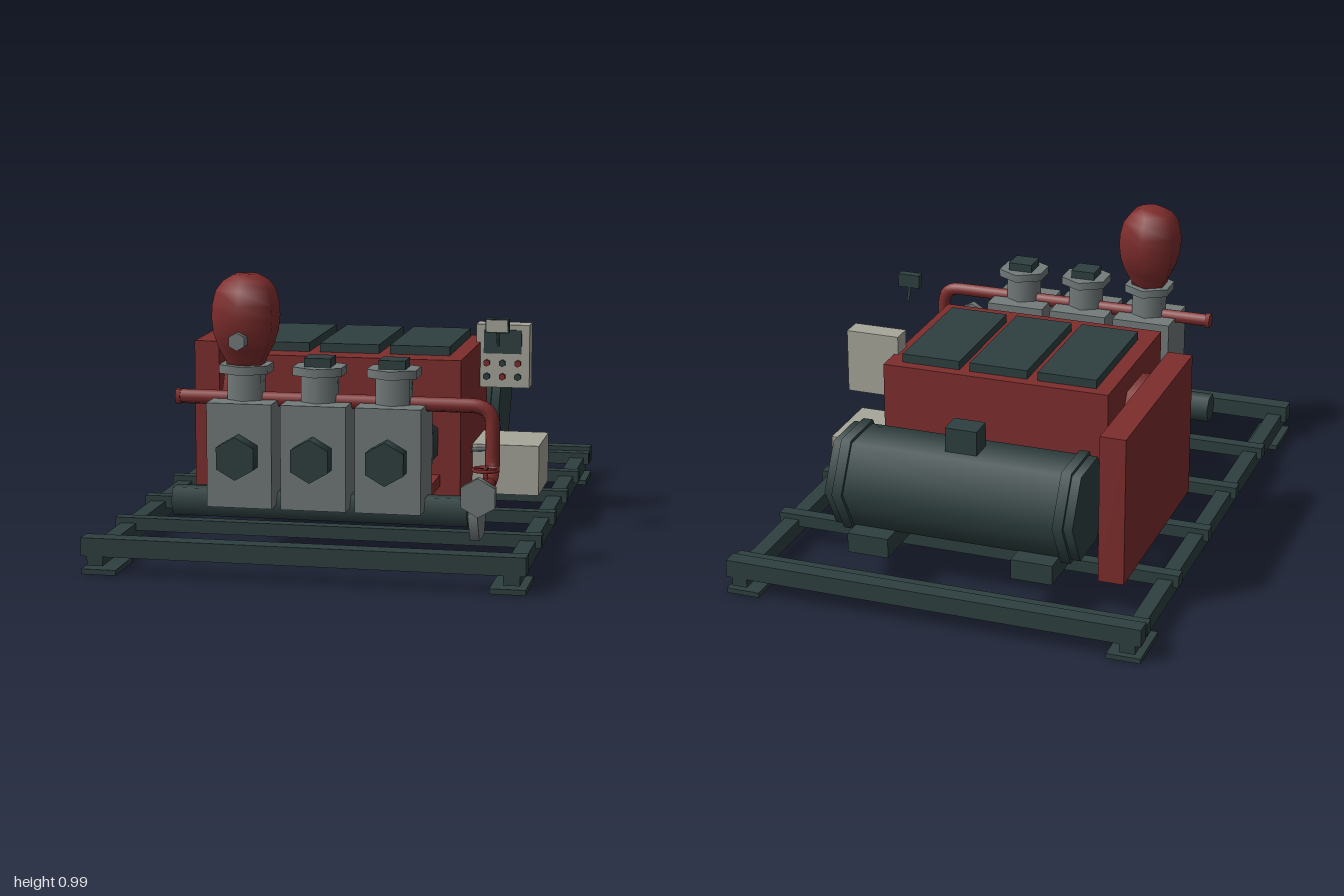
import * as THREE from 'three';

const material = (name, color) => {
  const m = new THREE.MeshStandardMaterial({ color });
  m.name = name;
  return m;
};

export function createModel() {
  const root = new THREE.Group();
  root.name = 'pumpSkid';
  const red = material('oxide red', 0x7f2d2d);
  const dark = material('dark slate', 0x2f4040);
  const gray = material('steel gray', 0x737b7b);
  const beige = material('panel beige', 0xa8a79b);

  const add = (name, geometry, mat, parent = root) => {
    const mesh = new THREE.Mesh(geometry, mat);
    mesh.name = name;
    parent.add(mesh);
    return mesh;
  };
  // Box given by its extents on each axis
  const box = (name, mat, [x0, x1], [y0, y1], [z0, z1], parent) => {
    const mesh = add(name, new THREE.BoxGeometry(x1 - x0, y1 - y0, z1 - z0), mat, parent);
    mesh.position.set((x0 + x1) / 2, (y0 + y1) / 2, (z0 + z1) / 2);
    return mesh;
  };
  // Six-sided cylinder along an axis, running from a to b; c holds the other two coordinates in x, y, z order
  const hex = (name, mat, axis, r, a, b, c, parent) => {
    const g = new THREE.CylinderGeometry(r, r, b - a, 6);
    if (axis === 'x') g.rotateZ(Math.PI / 2);
    if (axis === 'z') g.rotateX(Math.PI / 2);
    const mesh = add(name, g, mat, parent);
    const m = (a + b) / 2;
    if (axis === 'x') mesh.position.set(m, c[0], c[1]);
    else if (axis === 'y') mesh.position.set(c[0], m, c[1]);
    else mesh.position.set(c[0], c[1], m);
    return mesh;
  };
  const group = (name) => {
    const g = new THREE.Group();
    g.name = name;
    root.add(g);
    return g;
  };

  // Skid frame
  const frame = group('skidFrame');
  for (const s of [-1, 1]) {
    box('sideRail', dark, s < 0 ? [-0.73, -0.675] : [0.675, 0.73], [0.03, 0.09], [-0.998, 0.998], frame);
    box('endBeam', dark, [-0.75, 0.75], [0.062, 0.125], s < 0 ? [-1, -0.942] : [0.935, 1], frame);
    for (const t of [-1, 1]) {
      const x = s * 0.69, z = t * 0.9;
      box('footPlate', dark, [x - 0.06, x + 0.06], [0, 0.018], [z - 0.1, z + 0.1], frame);
    }
  }
  for (const z of [0.58, 0.205, -0.165, -0.54, -0.91]) {
    box('crossBeam', dark, [-0.75, 0.75], [0.065, 0.11], [z - 0.023, z + 0.023], frame);
  }

  // Power end housing, belt guard and side bearing cover
  box('powerEndHousing', red, [-0.42, 0.42], [0.112, 0.65], [-0.35, 0.283]);
  box('beltGuard', red, [-0.6, -0.508], [0.125, 0.662], [-0.715, 0.073]);
  hex('bearingCover', red, 'x', 0.19, -0.487, -0.42, [0.41, -0.035]);

  // Electric motor
  const motor = group('motor');
  hex('motorBody', dark, 'x', 0.18, -0.45, 0.45, [0.353, -0.64], motor);
  for (const s of [-1, 1]) {
    hex('motorBand', dark, 'x', 0.194, s * 0.4 - 0.018, s * 0.4 + 0.018, [0.353, -0.64], motor);
    box('motorFoot', dark, [s * 0.3 - 0.075, s * 0.3 + 0.075], [0.125, 0.205], [-0.805, -0.465], motor)
      .scale.y = 0.9;
  }
  box('terminalBox', dark, [-0.06, 0.055], [0.48, 0.597], [-0.685, -0.595], motor);

  // Three pump lines, with the same parts on each
  for (const x of [-0.255, 0, 0.255]) {
    const line = group('pumpLine');
    box('topCover', dark, [x - 0.108, x + 0.108], [0.65, 0.682], [-0.308, 0.178], line);
    box('cradle', red, [x - 0.093, x + 0.093], [0.2, 0.24], [0.28, 0.567], line);
    hex('stuffingBox', dark, 'z', 0.097, 0.28, 0.418, [x, 0.36], line);
    hex('glandFlange', gray, 'z', 0.105, 0.418, 0.444, [x, 0.36], line);
    hex('plungerRod', gray, 'z', 0.05, 0.444, 0.486, [x, 0.36], line);
    hex('coupling', gray, 'z', 0.077, 0.486, 0.548, [x, 0.36], line);
    hex('couplingStub', gray, 'z', 0.035, 0.548, 0.57, [x, 0.36], line);
    box('fluidBlock', gray, [x - 0.112, x + 0.112], [0.203, 0.56], [0.563, 0.79], line);
    hex('blockPlug', dark, 'z', 0.074, 0.78, 0.852, [x, 0.383], line);
    hex('valveNeck', gray, 'y', 0.067, 0.55, 0.655, [x, 0.675], line);
    hex('valveFlange', gray, 'y', 0.097, 0.652, 0.681, [x, 0.675], line);
    if (x >= 0) box('valveCap', dark, [x - 0.046, x + 0.046], [0.68, 0.711], [0.628, 0.718], line);
  }

  // Pulsation damper with gauge
  const profile = [[0, 0.67], [0.068, 0.67], [0.072, 0.695], [0.098, 0.74], [0.115, 0.79], [0.121, 0.84],
    [0.119, 0.885], [0.106, 0.935], [0.08, 0.967], [0.042, 0.987], [0, 0.989]];
  const damper = add('pulsationDamper',
    new THREE.LatheGeometry(profile.map(([r, y]) => new THREE.Vector2(r, y)), 6), red);
  damper.position.set(-0.255, 0, 0.675);
  hex('damperGauge', gray, 'z', 0.031, 0.74, 0.812, [-0.255, 0.773]);

  // Discharge pipe: along the blocks, down, then forward
  const v = (x, y, z) => new THREE.Vector3(x, y, z);
  const path = new THREE.CurvePath();
  path.add(new THREE.LineCurve3(v(-0.5, 0.56, 0.67), v(0.52, 0.56, 0.67)));
  path.add(new THREE.QuadraticBezierCurve3(v(0.52, 0.56, 0.67), v(0.59, 0.56, 0.67), v(0.59, 0.49, 0.67)));
  path.add(new THREE.LineCurve3(v(0.59, 0.49, 0.67), v(0.59, 0.385, 0.67)));
  path.add(new THREE.QuadraticBezierCurve3(v(0.59, 0.385, 0.67), v(0.59, 0.315, 0.67), v(0.59, 0.315, 0.74)));
  path.add(new THREE.LineCurve3(v(0.59, 0.315, 0.74), v(0.59, 0.315, 0.95)));
  add('dischargePipe', new THREE.TubeGeometry(path, 90, 0.025, 8), red);
  hex('pipeEndCap', red, 'x', 0.029, -0.502, -0.485, [0.56, 0.67]);
  hex('pipeOutletCap', red, 'z', 0.028, 0.9, 0.95, [0.59, 0.315]);
  hex('outletFlange', gray, 'z', 0.065, 0.968, 0.998, [0.59, 0.315]);

  // Shut-off valve
  hex('valveBody', red, 'z', 0.034, 0.8, 0.86, [0.59, 0.315]);
  hex('valveStem', red, 'y', 0.009, 0.33, 0.38, [0.59, 0.83]);
  const wheel = add('handwheel', new THREE.TorusGeometry(0.042, 0.006, 5, 12).rotateX(Math.PI / 2), red);
  wheel.position.set(0.59, 0.376, 0.83);
  box('handwheelSpoke', red, [0.55, 0.63], [0.372, 0.38], [0.826, 0.834]);
  box('handwheelSpoke', red, [0.586, 0.594], [0.372, 0.38], [0.79, 0.87]);

  // Suction manifold
  hex('suctionManifold', dark, 'x', 0.055, -0.512, 0.512, [0.198, 0.672]);
  hex('suctionFlange', gray, 'x', 0.108, 0.525, 0.557, [0.205, 0.678]);

  // Control panel
  const panel = group('controlPanel');
  box('panelCase', beige, [0.405, 0.602], [0.484, 0.717], [-0.25, -0.172], panel);
  box('panelScreen', dark, [0.433, 0.573], [0.61, 0.698], [-0.173, -0.168], panel);
  [0.575, 0.525].forEach((y, row) => {
    [0.445, 0.503, 0.56].forEach((x, col) => {
      hex('panelButton', (row + col) % 2 ? dark : red, 'z', 0.013, -0.173, -0.155, [x, y], panel);
    });
  });

  // Electrical box with a small lever
  box('electricalBox', beige, [0.42, 0.663], [0.12, 0.302], [-0.28, 0.003]);
  const lever = new THREE.LineCurve3(v(0.47, 0.285, 0), v(0.42, 0.287, 0.038));
  add('boxLever', new THREE.TubeGeometry(lever, 1, 0.008, 6), gray);

  // Small readout on a stem
  const readout = group('readout');
  box('readoutCase', dark, [0.494, 0.577], [0.74, 0.79], [0.175, 0.208], readout);
  box('readoutFace', beige, [0.498, 0.573], [0.745, 0.786], [0.208, 0.212], readout);
  const stem = new THREE.LineCurve3(v(0.535, 0.745, 0.188), v(0.535, 0.69, 0.166));
  add('readoutStem', new THREE.TubeGeometry(stem, 1, 0.006, 6), dark, readout);

  return root;
}
